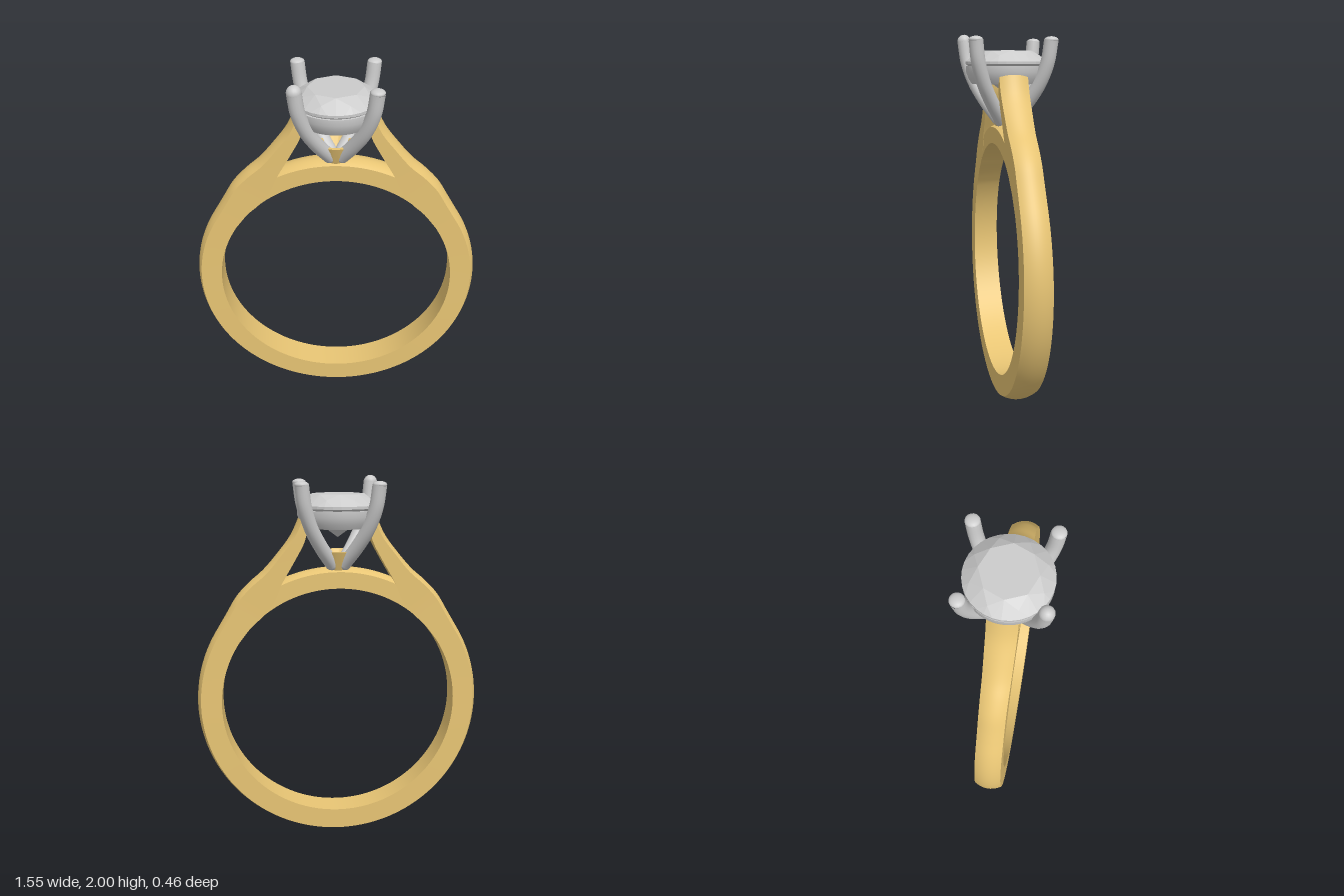
import * as THREE from 'three';
import { toCreasedNormals } from 'three/addons/utils/BufferGeometryUtils.js';
import { ConvexGeometry } from 'three/addons/geometries/ConvexGeometry.js';

const CY = 0.78, R_IN = 0.64, R_OUT = 0.775, DOME = 0.022;
const V2 = (x, y) => new THREE.Vector2(x, y);
const polar = (r, deg) => {
  const a = THREE.MathUtils.degToRad(deg);
  return V2(r * Math.cos(a), CY + r * Math.sin(a));
};

// Closed solid through stations {inner, outer, w}: flat sides, domed outer face
function loftBand(stations) {
  const pos = [], idx = [], domeSteps = 10, n = domeSteps + 3;
  for (const { inner, outer, w } of stations) {
    pos.push(inner.x, inner.y, -w, inner.x, inner.y, w);
    const dir = outer.clone().sub(inner).normalize();
    for (let k = 0; k <= domeSteps; k++) {
      const s = 1 - 2 * k / domeSteps;
      const p = outer.clone().addScaledVector(dir, -DOME * s * s);
      pos.push(p.x, p.y, w * s);
    }
  }
  const last = (stations.length - 1) * n;
  for (let i = 0; i < last; i += n)
    for (let j = 0; j < n; j++) {
      const k = (j + 1) % n;
      idx.push(i + j, i + k, i + n + k, i + j, i + n + k, i + n + j);
    }
  for (let j = 1; j < n - 1; j++) {
    idx.push(0, j + 1, j);
    idx.push(last, last + j, last + j + 1);
  }
  const g = new THREE.BufferGeometry();
  g.setAttribute('position', new THREE.Float32BufferAttribute(pos, 3));
  g.setIndex(idx);
  return toCreasedNormals(g, 0.6);
}

// Half width of the band: slightly pinched below the shoulders
function halfWidth(y) {
  return y < 1.35
    ? THREE.MathUtils.lerp(0.076, 0.068, THREE.MathUtils.smoothstep(y, 0.1, 1.35))
    : THREE.MathUtils.lerp(0.068, 0.075, THREE.MathUtils.smoothstep(y, 1.35, 1.75));
}

function shankGeometry() {
  const half = [];
  const add = (inner, outer) => half.push({ inner, outer, w: halfWidth(outer.y) });
  // round lower part, from the bottom up to the shoulder
  for (let i = 0; i < 48; i++) {
    const a = -90 + 123 * i / 48;
    add(polar(R_IN, a), polar(R_OUT, a));
  }
  // shoulder sweeping up to the head
  const inner = new THREE.SplineCurve([V2(0.537, 1.129), V2(0.47, 1.214), V2(0.4, 1.28), V2(0.34, 1.36),
    V2(0.3, 1.45), V2(0.225, 1.58), V2(0.175, 1.68), V2(0.155, 1.8)]);
  const outer = new THREE.SplineCurve([V2(0.65, 1.202), V2(0.6, 1.285), V2(0.545, 1.375), V2(0.475, 1.45),
    V2(0.4, 1.515), V2(0.325, 1.6), V2(0.25, 1.7), V2(0.2, 1.81)]);
  for (let i = 0; i <= 28; i++) add(inner.getPoint(i / 28), outer.getPoint(i / 28));
  // mirror to the other side
  const mirrored = half.slice(1).reverse().map(s => ({
    inner: V2(-s.inner.x, s.inner.y), outer: V2(-s.outer.x, s.outer.y), w: s.w
  }));
  return loftBand([...mirrored, ...half]);
}

// Arc that closes the finger hole under the head
function bridgeGeometry() {
  const st = [];
  for (let i = 0; i <= 32; i++) {
    const a = 48 + 84 * i / 32;
    st.push({ inner: polar(R_IN, a), outer: polar(0.75, a), w: 0.0675 });
  }
  return loftBand(st);
}

// Faceted stone: table, crown, girdle and pointed pavilion
function stoneGeometry() {
  const pts = [new THREE.Vector3(0, 1.685, 0)];
  const ring = (r, y, n, offset) => {
    for (let i = 0; i < n; i++) {
      const a = (i + offset) / n * Math.PI * 2;
      pts.push(new THREE.Vector3(r * Math.cos(a), y, r * Math.sin(a)));
    }
  };
  ring(0.14, 1.912, 8, 0);
  ring(0.183, 1.885, 8, 0.5);
  ring(0.215, 1.856, 32, 0);
  ring(0.215, 1.842, 32, 0);
  return new ConvexGeometry(pts);
}

const lathe = pts => toCreasedNormals(
  new THREE.LatheGeometry(pts.map(p => V2(p[0], p[1])), 48), 0.6);

export function createModel() {
  const model = new THREE.Group();
  const gold = new THREE.MeshStandardMaterial({ color: 0xe8c574 });
  const grey = new THREE.MeshStandardMaterial({ color: 0xcccccc });
  const part = (name, geometry, material, parent = model) => {
    const mesh = new THREE.Mesh(geometry, material);
    mesh.name = name;
    parent.add(mesh);
    return mesh;
  };

  part('shank', shankGeometry(), gold);
  part('bridge', bridgeGeometry(), gold);

  // small hollow cup at the foot of the prongs
  part('baseCup', lathe([[0.025, 1.5], [0.05, 1.5], [0.07, 1.55], [0.095, 1.615],
    [0.075, 1.615], [0.045, 1.57], [0.025, 1.545], [0.025, 1.5]]), gold);

  const head = new THREE.Group();
  head.name = 'head';
  model.add(head);
  part('stone', stoneGeometry(), grey, head);
  part('seatRing', lathe([[0.13, 1.74], [0.185, 1.74], [0.2, 1.765], [0.213, 1.8], [0.213, 1.832],
    [0.195, 1.832], [0.14, 1.79], [0.13, 1.74]]), grey, head);

  // four curved prongs on the diagonals
  const profile = [[0.033, 1.548], [0.09, 1.635], [0.145, 1.74], [0.18, 1.85], [0.195, 1.963]];
  const r = 0.037;
  for (const sx of [-1, 1])
    for (const sz of [-1, 1]) {
      const prong = new THREE.Group();
      prong.name = `prong${sz > 0 ? 'Front' : 'Back'}${sx > 0 ? 'Left' : 'Right'}`;
      head.add(prong);
      const path = new THREE.CatmullRomCurve3(
        profile.map(([d, y]) => new THREE.Vector3(sx * d, y, sz * d)));
      part('prongStem', new THREE.TubeGeometry(path, 28, r, 16), grey, prong);
      const ball = new THREE.SphereGeometry(r, 16, 12);
      const tip = part('prongTip', ball, grey, prong);
      tip.position.set(sx * 0.195, 1.963, sz * 0.195);
      // one tip is left round, the others are trimmed lower
      if (!(sx < 0 && sz > 0)) tip.scale.y = 0.5;
      part('prongFoot', ball, grey, prong).position.set(sx * 0.033, 1.548, sz * 0.033);
    }
  return model;
}
